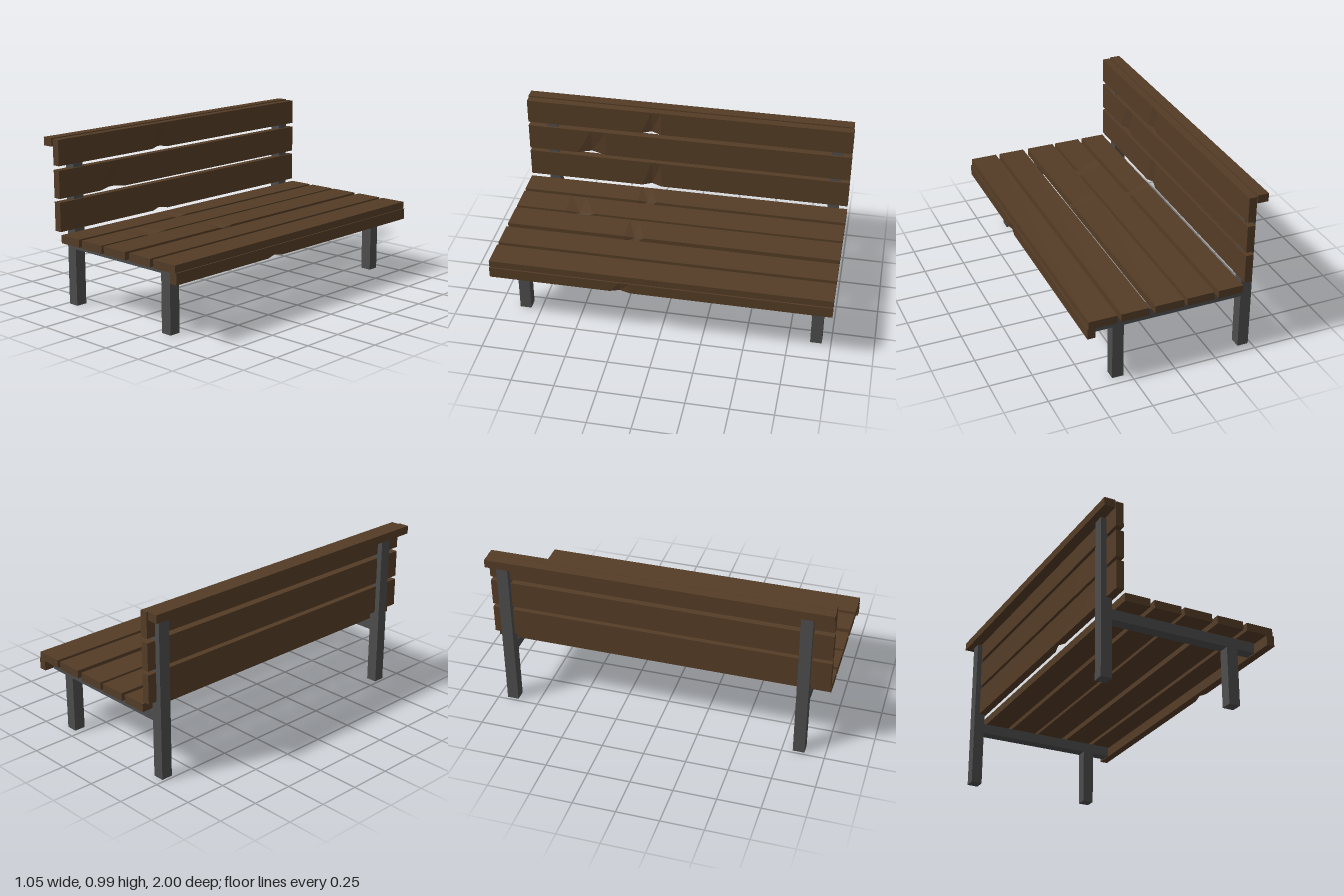
import * as THREE from 'three';

const wood = new THREE.MeshStandardMaterial({ color: 0x543c26, flatShading: true });
const metal = new THREE.MeshStandardMaterial({ color: 0x4c4c4c, flatShading: true });

// Box from its x, y and z limits
function bar(name, material, [x0, x1], [y0, y1], [z0, z1], zSegments = 1) {
  const geometry = new THREE.BoxGeometry(x1 - x0, y1 - y0, z1 - z0, 1, 1, zSegments);
  geometry.translate((x0 + x1) / 2, (y0 + y1) / 2, (z0 + z1) / 2);
  const mesh = new THREE.Mesh(geometry, material);
  mesh.name = name;
  return mesh;
}

// Plank running along z, with a small worn chip in one long edge.
// chip: side in x, side in y, z of the chip, half length, depth
function plank(name, xs, ys, zs, chip) {
  const mesh = bar(name, wood, xs, ys, zs, chip ? 4 : 1);
  if (!chip) return mesh;
  const [sx, sy, z, half, depth] = chip;
  const stations = [zs[0], z - half, z, z + half, zs[1]];
  const cx = (xs[0] + xs[1]) / 2, cy = (ys[0] + ys[1]) / 2;
  const p = mesh.geometry.attributes.position;
  for (let i = 0; i < p.count; i++) {
    const k = Math.round(4 * (p.getZ(i) - zs[0]) / (zs[1] - zs[0]));
    p.setZ(i, stations[k]);
    if (k === 2 && (p.getX(i) - cx) * sx > 0 && (p.getY(i) - cy) * sy > 0) {
      p.setX(i, p.getX(i) - sx * depth);
      p.setY(i, p.getY(i) - sy * depth);
    }
  }
  mesh.geometry.computeVertexNormals();
  return mesh;
}

export function createModel() {
  const model = new THREE.Group();
  model.name = 'slattedBench';

  // Two end frames: back post, front leg and seat rail
  for (const z of [-0.912, 0.847]) {
    const frame = new THREE.Group();
    frame.name = 'endFrame';
    const zs = [z - 0.034, z + 0.034];
    frame.add(
      bar('backPost', metal, [-0.483, -0.417], [0, 0.946], zs),
      bar('frontLeg', metal, [0.289, 0.356], [0, 0.338], zs),
      bar('seatRail', metal, [-0.417, 0.466], [0.338, 0.399], zs)
    );
    model.add(frame);
  }

  const length = [-1, 0.995];

  // Seat planks
  const seat = new THREE.Group();
  seat.name = 'seat';
  [
    [-0.4, -0.25, [1, 1, 0.22, 0.06, 0.012]],
    [-0.224, -0.061, [1, 1, 0.6, 0.09, 0.014]],
    [-0.042, 0.129, [1, 1, 0.22, 0.06, 0.012]],
    [0.163, 0.326],
    [0.35, 0.514],
  ].forEach(([a, b, chip]) => seat.add(plank('seatPlank', [a, b], [0.4, 0.447], length, chip)));
  seat.add(plank('frontEdgePlank', [0.475, 0.522], [0.34, 0.405], length, [1, -1, 0.22, 0.06, 0.009]));
  model.add(seat);

  // Backrest planks and the cap along the top
  const back = new THREE.Group();
  back.name = 'backrest';
  [
    [0.463, 0.632, [1, -1, 0.22, 0.06, 0.012]],
    [0.654, 0.815, [1, -1, 0.6, 0.09, 0.014]],
    [0.841, 0.99, [1, -1, 0.22, 0.06, 0.012]],
  ].forEach(([a, b, chip]) => back.add(plank('backPlank', [-0.451, -0.405], [a, b], length, chip)));
  back.add(plank('topCap', [-0.523, -0.458], [0.946, 0.994], [-0.995, 1]));
  model.add(back);

  return model;
}
